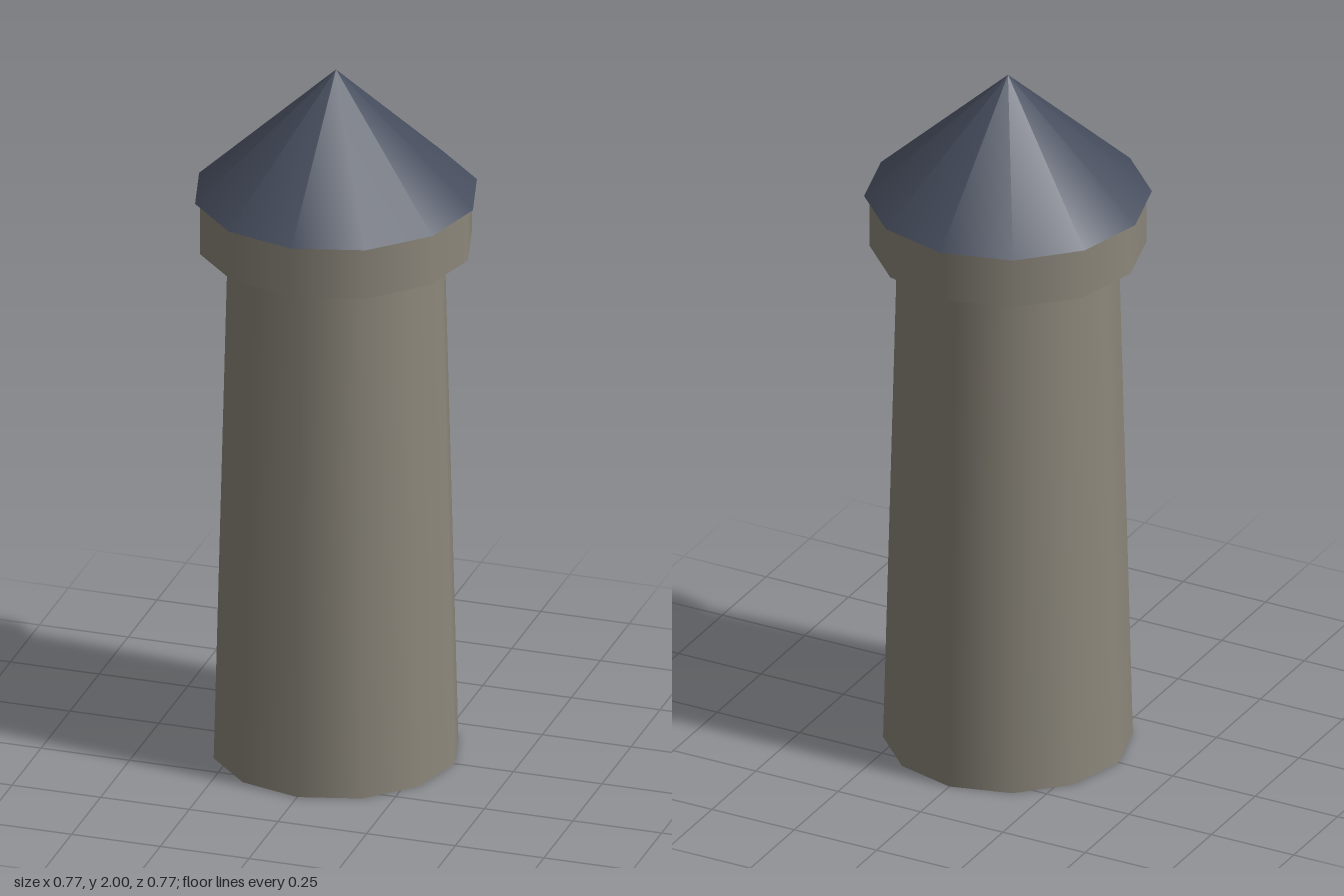
import * as THREE from 'three';

const SIDES = 12;

export function createModel() {
  const tower = new THREE.Group();
  tower.name = 'tower';

  const stone = new THREE.MeshStandardMaterial({ color: 0x8c877b });
  stone.name = 'stone';
  const slate = new THREE.MeshStandardMaterial({ color: 0x454c5c });
  slate.name = 'slate';

  // Adds a closed twelve-sided drum or cone between two heights
  function addDrum(name, material, topRadius, bottomRadius, y0, y1) {
    const geometry = topRadius > 0
      ? new THREE.CylinderGeometry(topRadius, bottomRadius, y1 - y0, SIDES)
      : new THREE.ConeGeometry(bottomRadius, y1 - y0, SIDES);
    const mesh = new THREE.Mesh(geometry, material);
    mesh.name = name;
    mesh.position.y = (y0 + y1) / 2;
    tower.add(mesh);
  }

  // Tapered shaft, overhanging collar and pointed roof
  addDrum('shaft', stone, 0.297, 0.335, 0, 1.49);
  addDrum('collar', stone, 0.372, 0.372, 1.49, 1.64);
  addDrum('roof', slate, 0, 0.386, 1.64, 2);

  return tower;
}
